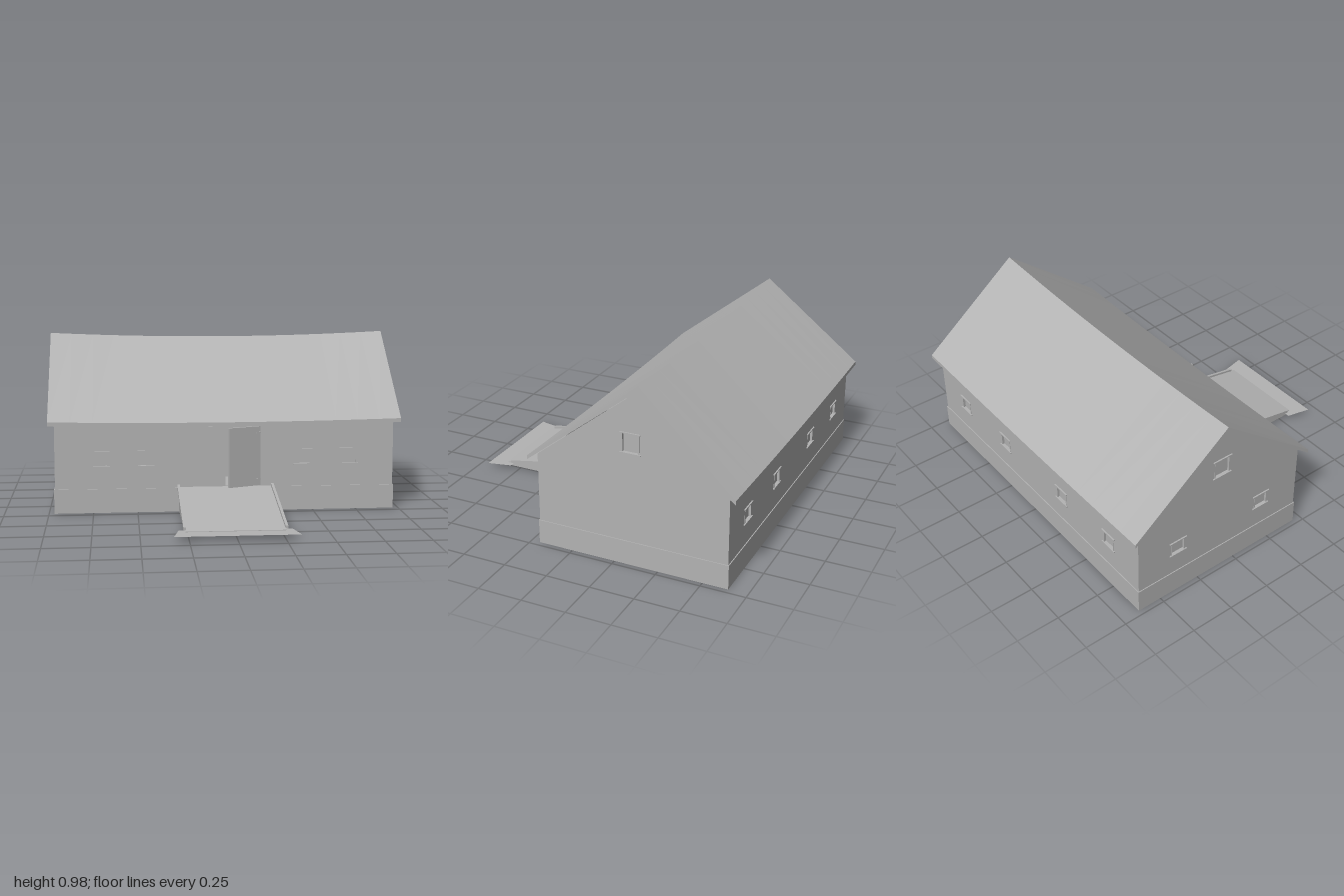
import * as THREE from 'three';

const plaster = new THREE.MeshStandardMaterial({ color: 0xb3b3b3, side: THREE.DoubleSide });
plaster.name = 'plain grey';

// House footprint: centre in z, half width and half depth of the walls
const CZ = -0.346, HX = 0.965, HZ = 0.541, WALL = 0.02;

function add(parent, name, geometry, x = 0, y = 0, z = 0) {
  const mesh = new THREE.Mesh(geometry, plaster);
  mesh.name = name;
  mesh.position.set(x, y, z);
  parent.add(mesh);
  return mesh;
}
const box = (w, h, d) => new THREE.BoxGeometry(w, h, d);
const shapeOf = pts => new THREE.Shape(pts.map(p => new THREE.Vector2(...p)));
const rect = (x0, y0, x1, y1) => [[x0, y0], [x1, y0], [x1, y1], [x0, y1]];

// Extrudes a [z, y] profile along x, centred on x = 0
function alongX(profile, width, steps = 1) {
  const shape = shapeOf(profile.map(([z, y]) => [-z, y]));
  const g = new THREE.ExtrudeGeometry(shape, { depth: width, steps, bevelEnabled: false });
  return g.translate(0, 0, -width / 2).rotateY(Math.PI / 2);
}

// One wall, facing local +z, with recessed windows [u, y, width, height]
function makeWall(name, outline, windows, opening) {
  const group = new THREE.Group();
  group.name = name;
  const shape = shapeOf(outline);
  if (opening) shape.holes.push(shapeOf(opening));
  for (const [u, y, w, h] of windows) {
    shape.holes.push(shapeOf(rect(u - w / 2, y - h / 2, u + w / 2, y + h / 2)));
    add(group, 'windowPane', box(w, h, 0.006), u, y, -0.015);
    for (const s of [-1, 1]) {
      add(group, s < 0 ? 'windowSill' : 'windowLintel', box(w + 0.03, 0.006, 0.012), u, y + s * (h / 2 + 0.003), 0.002);
      add(group, 'windowJamb', box(0.006, h, 0.006), u + s * (w / 2 + 0.002), y, -0.001);
    }
  }
  const g = new THREE.ExtrudeGeometry(shape, { depth: WALL, bevelEnabled: false });
  add(group, 'wallPanel', g.translate(0, 0, -WALL));
  return group;
}

function makeHouse() {
  const house = new THREE.Group();
  house.name = 'house';
  house.position.z = CZ;

  // Base skirt, open underneath
  const ring = shapeOf(rect(-0.97, -0.546, 0.97, 0.546));
  ring.holes.push(shapeOf(rect(-0.955, -0.531, 0.955, 0.531)));
  const skirt = new THREE.ExtrudeGeometry(ring, { depth: 0.137, bevelEnabled: false });
  add(house, 'baseSkirt', skirt.rotateX(-Math.PI / 2));

  // Walls
  const W = 0.08, Y = 0.308;
  const long = rect(-HX, 0.13, HX, 0.522);
  const gable = [[-HZ, 0.13], [HZ, 0.13], [HZ, 0.53], [0, 0.955], [-HZ, 0.53]];
  const attic = [0, 0.7, 0.09, 0.105];
  const front = makeWall('frontWall', long, [-0.71, -0.443, 0.443, 0.71].map(u => [u, Y, W, W]), rect(-0.2, 0.145, 0.2, 0.485));
  const back = makeWall('backWall', long, [-0.71, -0.28, 0.28, 0.71].map(u => [u, Y, W, W]));
  const left = makeWall('leftGable', gable, [attic]);
  const right = makeWall('rightGable', gable, [attic, [-0.285, Y, W, W], [0.285, Y, W, W]]);
  front.position.z = HZ;
  back.position.z = -HZ;
  back.rotation.y = Math.PI;
  left.position.x = HX;
  left.rotation.y = Math.PI / 2;
  right.position.x = -HX;
  right.rotation.y = -Math.PI / 2;
  house.add(front, back, left, right);

  // Saddle roof, sagging toward the middle
  const E = 0.584;
  const roof = alongX([[E, 0.505], [E, 0.527], [0, 0.984], [-E, 0.527], [-E, 0.505], [0, 0.962]], 2, 16);
  const p = roof.attributes.position;
  for (let i = 0; i < p.count; i++) {
    const x = p.getX(i), ridge = 1 - Math.abs(p.getZ(i)) / E;
    p.setY(i, p.getY(i) - (0.012 + 0.014 * ridge) * (1 - x * x));
  }
  roof.computeVertexNormals();
  add(house, 'roof', roof);
  return house;
}

function makeEntrance() {
  const entrance = new THREE.Group();
  entrance.name = 'entrance';

  // Lobby box inside the house, without its front face
  const lobby = box(0.44, 0.345, 0.26);
  const index = Array.from(lobby.index.array);
  index.splice(24, 6);
  lobby.setIndex(index);
  lobby.clearGroups();
  add(entrance, 'lobby', lobby, 0, 0.3175, 0.05);

  // Double door: one leaf closed, one ajar
  for (const s of [-1, 1]) {
    const leaf = new THREE.Group();
    leaf.name = s < 0 ? 'closedDoor' : 'openDoor';
    leaf.position.set(s * 0.2, 0, 0.197);
    if (s > 0) leaf.rotation.y = 0.385;
    add(leaf, 'doorLeaf', box(0.2, 0.34, 0.016), -s * 0.1, 0.315, -0.008);
    for (const y of [0.18, 0.45]) add(leaf, 'hinge', box(0.03, 0.007, 0.006), -s * 0.015, y, 0.001);
    entrance.add(leaf);
  }
  return entrance;
}

function makeRamp() {
  const ramp = new THREE.Group();
  ramp.name = 'ramp';
  // Sloping deck
  add(ramp, 'deck', alongX([[0.195, 0.133], [0.195, 0.141], [0.83, 0.031], [0.83, 0.024]], 0.53));
  // Side panels and curbs
  for (const s of [-1, 1]) {
    add(ramp, 'sidePanel', alongX([[0.195, 0.012], [0.195, 0.138], [0.81, 0.03], [0.84, 0.026], [0.84, 0.012]], 0.004), s * 0.265);
    add(ramp, 'curb', alongX([[0.195, 0.137], [0.195, 0.155], [0.805, 0.048], [0.805, 0.032]], 0.015), s * 0.268);
  }
  // Flared plate at the foot
  const apron = new THREE.ShapeGeometry(shapeOf([[-0.33, -0.93], [0.33, -0.93], [0.3, -0.79], [-0.3, -0.79]]));
  add(ramp, 'apron', apron.rotateX(-Math.PI / 2), 0, 0.028, 0);
  return ramp;
}

export function createModel() {
  const model = new THREE.Group();
  model.name = 'barn';
  model.add(makeHouse(), makeEntrance(), makeRamp());
  return model;
}
